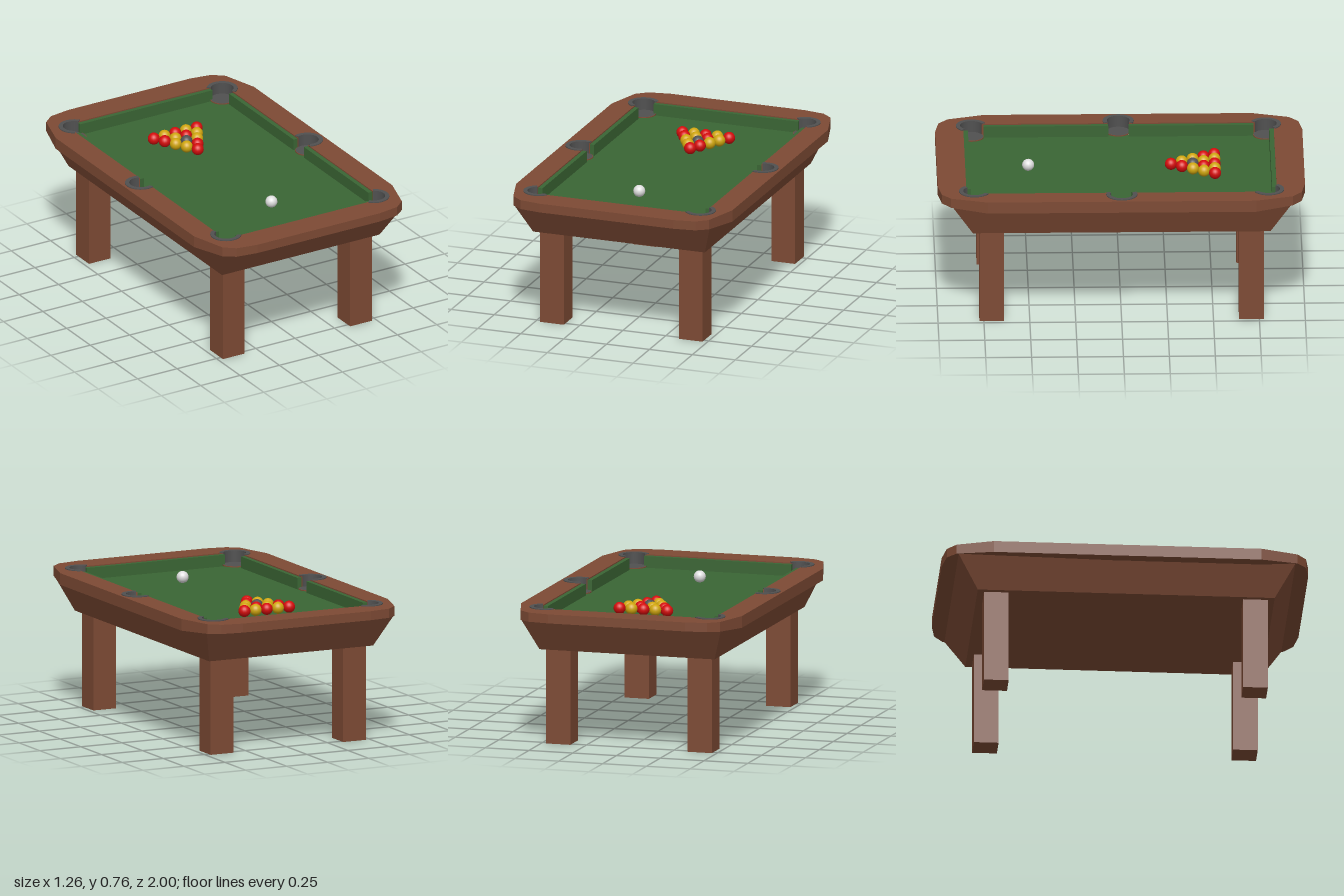
import * as THREE from 'three';

const mat = (name, color, extra = {}) => {
  const m = new THREE.MeshStandardMaterial({ color, ...extra });
  m.name = name;
  return m;
};

// Complete a closed loop from its +x, +z quarter.
function mirrorLoop(q) {
  const r = [...q].reverse();
  const flip = (pts, sx, sy) => pts.map(([x, y]) => new THREE.Vector2(x * sx, y * sy));
  return [...flip(q, 1, 1), ...flip(r, -1, 1), ...flip(q, -1, -1), ...flip(r, 1, -1)]
    .filter((p, i, a) => i === 0 || p.distanceTo(a[i - 1]) > 1e-5);
}

function arc(cx, cy, r, a0, a1, n) {
  return Array.from({ length: n + 1 }, (_, i) => {
    const a = a0 + (a1 - a0) * i / n;
    return [cx + r * Math.cos(a), cy + r * Math.sin(a)];
  });
}

// Extrude a plan shape downwards from height top.
function slab(shape, top, depth) {
  const g = new THREE.ExtrudeGeometry(shape, { depth, bevelEnabled: false, curveSegments: 12 });
  return g.rotateX(Math.PI / 2).translate(0, top, 0);
}

export function createModel() {
  const wood = mat('wood', 0x7d4a34);
  const cloth = mat('green cloth', 0x3a6534);
  const grey = mat('pocket grey', 0x505050, { side: THREE.DoubleSide });
  const red = mat('red', 0xd40c0c);
  const yellow = mat('yellow', 0xcfa50e);
  const white = mat('white', 0xdedede);

  const root = new THREE.Group();
  root.name = 'poolTable';
  const add = (name, geo, material, x = 0, y = 0, z = 0, parent = root) => {
    const m = new THREE.Mesh(geo, material);
    m.name = name;
    m.position.set(x, y, z);
    parent.add(m);
    return m;
  };
  const SIGNS = [[1, 1], [-1, 1], [-1, -1], [1, -1]];
  const rad = THREE.MathUtils.degToRad;

  // Rail: eight-cornered frame, cut away around the pockets
  const R = 0.065, side = [0.53, 0], corner = [0.47, 0.8];
  const rail = new THREE.Shape(mirrorLoop([[0.63, 0.73], [0.57, 0.93], [0.51, 0.98], [0.39, 1]]));
  rail.holes.push(new THREE.Path(mirrorLoop([
    ...arc(...side, R, 0, rad(117.5), 6),
    ...arc(...corner, R, rad(-62.5), rad(136.2), 12),
  ])));
  const railGeo = slab(rail, 0.76, 0.06);
  const rp = railGeo.attributes.position;
  for (let i = 0; i < rp.count; i++) {
    // The underside rises a little towards both ends
    if (rp.getY(i) < 0.73) {
      const t = THREE.MathUtils.clamp((Math.abs(rp.getZ(i)) - 0.73) / 0.27, 0, 1);
      rp.setY(i, 0.695 + 0.015 * t);
    }
  }
  railGeo.computeVertexNormals();
  add('rail', railGeo, wood);

  // Tapered body, open at the top
  const bodyGeo = new THREE.BoxGeometry(1, 0.18, 1);
  const bp = bodyGeo.attributes.position;
  for (let i = 0; i < bp.count; i++) {
    const up = bp.getY(i) > 0;
    bp.setX(i, Math.sign(bp.getX(i)) * (up ? 0.57 : 0.5));
    bp.setZ(i, Math.sign(bp.getZ(i)) * (up ? 0.92 : 0.81));
  }
  const idx = [...bodyGeo.index.array];
  idx.splice(12, 6);
  bodyGeo.setIndex(idx);
  bodyGeo.clearGroups();
  bodyGeo.computeVertexNormals();
  add('body', bodyGeo, wood, 0, 0.617, 0);

  // Legs
  const legGeo = new THREE.BoxGeometry(0.138, 0.54, 0.135);
  for (const [sx, sz] of SIGNS) add('leg', legGeo, wood, sx * 0.404, 0.27, sz * 0.707);

  // Playing bed and cushions
  const BED = 0.69;
  add('bed', new THREE.BoxGeometry(1.0, 0.02, 1.69), cloth, 0, BED - 0.01, 0);
  const sideCushion = new THREE.BoxGeometry(0.025, 0.064, 0.68);
  const endCushion = new THREE.BoxGeometry(0.84, 0.064, 0.025);
  for (const [sx, sz] of SIGNS) add('sideCushion', sideCushion, cloth, sx * 0.4875, 0.722, sz * 0.395);
  for (const s of [1, -1]) add('endCushion', endCushion, cloth, 0, 0.722, s * 0.8325);

  // Pockets: collar, lining and floor, open towards the bed
  function pocket(x, z, mid, half) {
    const g = new THREE.Group();
    g.name = 'pocket';
    g.position.set(x, 0, z);
    const collar = new THREE.Shape([
      ...arc(0, 0, 0.085, mid - half, mid + half, 20),
      ...arc(0, 0, 0.062, mid + half, mid - half, 20),
    ].map(p => new THREE.Vector2(...p)));
    add('collar', slab(collar, 0.765, 0.008), grey, 0, 0, 0, g);
    const lining = new THREE.CylinderGeometry(0.062, 0.062, 0.066, 20, 1, true,
      Math.PI / 2 - mid - half, 2 * half);
    add('lining', lining, grey, 0, 0.731, 0, g);
    add('pocketFloor', new THREE.CircleGeometry(0.064, 24).rotateX(-Math.PI / 2), grey, 0, 0.701, 0, g);
    add('pocketBase', new THREE.CylinderGeometry(0.067, 0.067, 0.005, 24), wood, 0, 0.698, 0, g);
    root.add(g);
  }
  for (const s of [1, -1]) pocket(s * side[0], 0, s > 0 ? 0 : Math.PI, rad(112));
  for (const [sx, sz] of SIGNS) {
    const m = rad(40);
    pocket(sx * corner[0], sz * corner[1], Math.atan2(sz * Math.sin(m), sx * Math.cos(m)), rad(102));
  }

  // Racked balls and the white ball
  const r = 0.033;
  const ballGeo = new THREE.SphereGeometry(r, 20, 14);
  const kinds = { r: red, y: yellow, b: grey };
  ['r', 'yr', 'yby', 'ryry', 'ryryr'].forEach((row, i) => {
    [...row].forEach((k, j) => {
      add('ball', ballGeo, kinds[k], (j - i / 2) * 0.068, BED + r, -0.277 - i * 0.0595);
    });
  });
  add('whiteBall', ballGeo, white, 0, BED + r, 0.5);

  return root;
}
